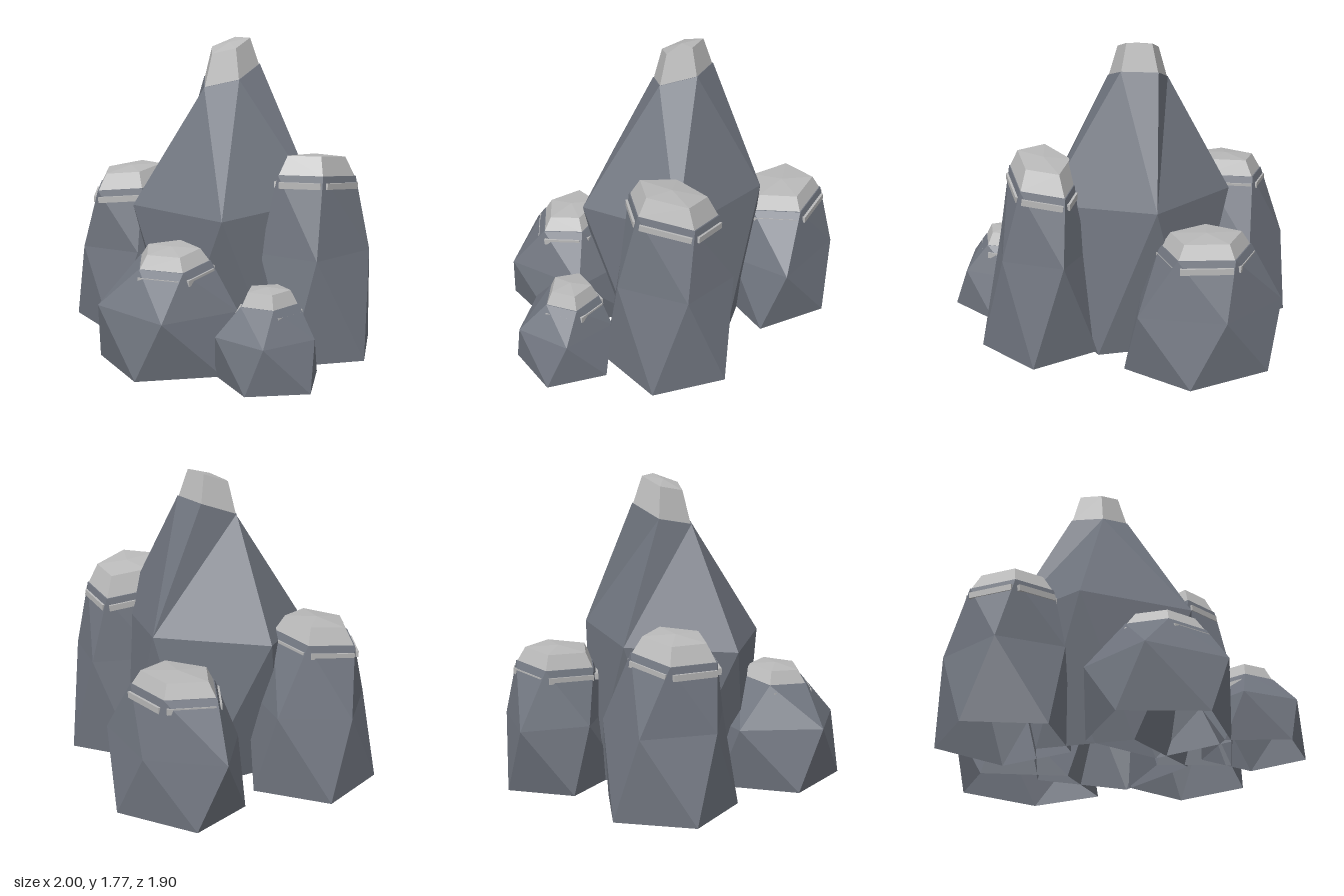
import * as THREE from 'three';

const SIDES = 5;
const rockMat = new THREE.MeshStandardMaterial({ color: 0x70757f, side: THREE.DoubleSide });
rockMat.name = 'slate grey';
const capMat = new THREE.MeshStandardMaterial({ color: 0xb9b9b9, side: THREE.DoubleSide });
capMat.name = 'pale stone';

// Five-cornered ring: centre, radii, turn in degrees, and slopes of its plane along x and z
function makeRing({ x, y = 0, z, rx, rz = rx, turn, slopeX = 0, slopeZ = 0 }) {
  return Array.from({ length: SIDES }, (_, i) => {
    const a = THREE.MathUtils.degToRad(turn + (i * 360) / SIDES);
    const dx = rx * Math.cos(a), dz = rz * Math.sin(a);
    return new THREE.Vector3(x + dx, y + slopeX * dx + slopeZ * dz, z + dz);
  });
}

// Same ring, shrunk about its centre and raised
const shrunkRing = (ring, scale, rise) => makeRing({
  ...ring, y: ring.y + rise, rx: ring.rx * scale, rz: (ring.rz ?? ring.rx) * scale,
});

// Joins rings with flat triangles, splitting each quad on its shorter diagonal, and closes the top
function loft(rings, tip) {
  const tris = [];
  for (let r = 0; r + 1 < rings.length; r++) {
    for (let i = 0; i < SIDES; i++) {
      const n = (i + 1) % SIDES;
      const a = rings[r][i], b = rings[r][n], c = rings[r + 1][i], d = rings[r + 1][n];
      if (b.distanceTo(c) < a.distanceTo(d)) tris.push(a, c, b, b, c, d);
      else tris.push(a, c, d, a, d, b);
    }
  }
  const top = rings[rings.length - 1];
  top.forEach((p, i) => tris.push(p, tip, top[(i + 1) % SIDES]));
  const geo = new THREE.BufferGeometry().setFromPoints(tris);
  geo.computeVertexNormals();
  return geo;
}

function addMesh(group, geo, mat, name) {
  const mesh = new THREE.Mesh(geo, mat);
  mesh.name = name;
  group.add(mesh);
  return mesh;
}

// Thin pale ledges running just below each edge of the body's top
function addBands(group, ring, flare) {
  ring.forEach((p, i) => {
    const q = ring[(i + 1) % SIDES];
    const length = p.distanceTo(q);
    const along = p.clone().sub(q).normalize();
    const out = new THREE.Vector3().crossVectors(along, new THREE.Vector3(0, 1, 0)).normalize();
    const up = new THREE.Vector3().crossVectors(out, along);
    const band = addMesh(group, new THREE.BoxGeometry(length * 0.92, 0.035, 0.03), capMat, 'ledgeBand');
    band.quaternion.setFromRotationMatrix(new THREE.Matrix4().makeBasis(along, up, out));
    band.position.copy(p).add(q).multiplyScalar(0.5).addScaledVector(out, flare);
    band.position.y -= 0.055;
  });
}

// One boulder: faceted body, open underneath, with a pale cap
function makeRock(name, { base, mid, top, rise, shrink = 0.74, flare }) {
  const group = new THREE.Group();
  group.name = name;
  const topRing = makeRing(top);
  const centre = new THREE.Vector3(top.x, top.y, top.z);
  addMesh(group, loft([makeRing(base), makeRing(mid), topRing], centre), rockMat, 'body');
  const capTip = centre.clone().setY(top.y + rise + 0.015);
  const capRings = [shrunkRing(top, 0.97, 0), shrunkRing(top, shrink, rise)];
  addMesh(group, loft(capRings, capTip), capMat, 'cap');
  if (flare) addBands(group, topRing, flare);
  return group;
}

export function createModel() {
  const model = new THREE.Group();
  model.name = 'rockFormation';

  model.add(makeRock('centralPeak', {
    base: { x: -0.02, z: -0.06, rx: 0.47, turn: 18 },
    mid: { x: -0.03, y: 0.85, z: -0.01, rx: 0.58, rz: 0.54, turn: 51, slopeZ: -0.08 },
    top: { x: -0.06, y: 1.56, z: -0.07, rx: 0.18, turn: 28, slopeX: 0.1, slopeZ: -0.36 },
    rise: 0.17, shrink: 0.68,
  }));

  model.add(makeRock('frontRock', {
    base: { x: 0.07, z: 0.55, rx: 0.41, turn: 1 },
    mid: { x: 0.075, y: 0.345, z: 0.555, rx: 0.41, turn: 51, slopeX: -0.03 },
    top: { x: 0.1, y: 0.585, z: 0.57, rx: 0.235, rz: 0.2, turn: 32, slopeZ: -0.1 },
    rise: 0.07, flare: 0.02,
  }));

  model.add(makeRock('rightSideRock', {
    base: { x: -0.66, z: 0.12, rx: 0.39, turn: -3 },
    mid: { x: -0.65, y: 0.485, z: 0.115, rx: 0.355, turn: 45, slopeX: 0.05 },
    top: { x: -0.66, y: 0.865, z: 0.165, rx: 0.245, turn: 28, slopeX: 0.08, slopeZ: -0.1 },
    rise: 0.09, flare: 0.01,
  }));

  model.add(makeRock('leftSideRock', {
    base: { x: 0.54, z: -0.17, rx: 0.355, rz: 0.38, turn: 0 },
    mid: { x: 0.52, y: 0.6, z: -0.17, rx: 0.3, rz: 0.36, turn: 43 },
    top: { x: 0.51, y: 1.02, z: -0.175, rx: 0.21, rz: 0.27, turn: 32, slopeX: 0.1, slopeZ: 0.14 },
    rise: 0.11, flare: 0.008,
  }));

  model.add(makeRock('backRock', {
    base: { x: -0.29, z: -0.63, rx: 0.435, rz: 0.34, turn: 0 },
    mid: { x: -0.31, y: 0.383, z: -0.64, rx: 0.45, rz: 0.31, turn: 48 },
    top: { x: -0.32, y: 0.7, z: -0.63, rx: 0.27, rz: 0.24, turn: 31, slopeZ: -0.06 },
    rise: 0.08, shrink: 0.78, flare: 0.012,
  }));

  model.add(makeRock('smallRock', {
    base: { x: 0.69, z: 0.41, rx: 0.305, rz: 0.295, turn: 3 },
    mid: { x: 0.67, y: 0.26, z: 0.42, rx: 0.28, turn: 51 },
    top: { x: 0.655, y: 0.42, z: 0.385, rx: 0.17, rz: 0.16, turn: 40, slopeX: 0.05 },
    rise: 0.075, flare: 0.015,
  }));

  return model;
}
